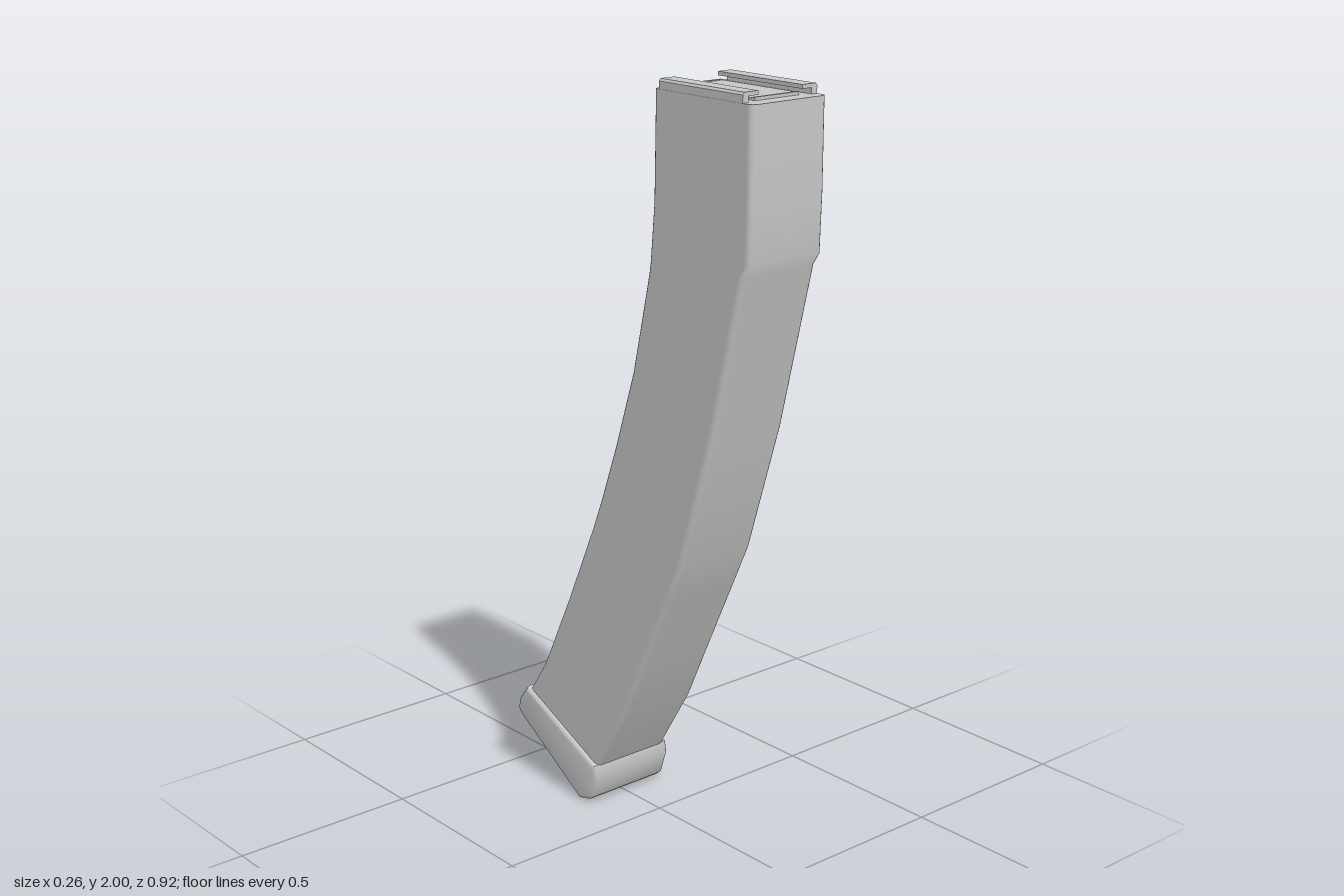
import * as THREE from 'three';
import { toCreasedNormals } from 'three/addons/utils/BufferGeometryUtils.js';

// Front and back edge of each body section: [frontZ, frontY, backZ, backY]
const SECTIONS = [
  [0.460, 1.975, 0.116, 1.975],
  [0.460, 1.750, 0.110, 1.700],
  [0.455, 1.600, 0.096, 1.550],
  [0.435, 1.570, 0.091, 1.520],
  [0.330, 1.140, 0.030, 1.260],
  [0.275, 0.965, -0.040, 1.050],
  [0.220, 0.790, -0.100, 0.890],
  [0.170, 0.683, -0.135, 0.805],
  [0.080, 0.492, -0.240, 0.575],
  [-0.010, 0.300, -0.350, 0.350],
  [-0.130, 0.105, -0.424, 0.240],
];

// Rounded rectangle, clockwise from above: point (x, distance from front) and normal (nx, toFront)
function roundedSection(halfWidth, depth, r) {
  const points = [];
  const corners = [[1, r], [-1, r], [-1, depth - r], [1, depth - r]];
  corners.forEach(([sx, cd], quarter) => {
    for (let i = 0; i <= 4; i++) {
      const a = (quarter + i / 4) * Math.PI / 2;
      const nx = Math.cos(a), nf = Math.sin(a);
      points.push({ x: sx * (halfWidth - r) + r * nx, d: cd - r * nf, nx, nf });
    }
  });
  return points;
}

// Unit normal [y, z], facing the front, of the edge stored at column k of the sections
function edgeNormal(s, k) {
  const above = SECTIONS[Math.max(s - 1, 0)];
  const below = SECTIONS[Math.min(s + 1, SECTIONS.length - 1)];
  const dz = above[k] - below[k], dy = above[k + 1] - below[k + 1];
  const length = Math.hypot(dz, dy);
  return [-dz / length, dy / length];
}

// Loft the sections from top to bottom, smooth along the curve, with flat end caps
function bodyGeometry() {
  const positions = [], normals = [], index = [];
  const last = SECTIONS.length - 1;
  const n = 20;

  const addRing = (s, capNormal) => {
    const [fz, fy, bz, by] = SECTIONS[s];
    const depth = Math.hypot(bz - fz, by - fy);
    for (const { x, d, nx, nf } of roundedSection(0.119, depth, 0.016)) {
      const t = d / depth;
      positions.push(x, fy + (by - fy) * t, fz + (bz - fz) * t);
      const [ny, nz] = edgeNormal(s, nf > 0 ? 0 : 2);
      normals.push(...(capNormal || [nx, nf * ny, nf * nz]));
    }
  };

  SECTIONS.forEach((section, s) => addRing(s));
  for (let s = 0; s < last; s++) {
    for (let i = 0; i < n; i++) {
      const a = s * n + i, b = s * n + (i + 1) % n;
      index.push(a, b, a + n, b, b + n, a + n);
    }
  }

  const top = (last + 1) * n, bottom = top + n;
  addRing(0, [0, 1, 0]);
  addRing(last, [0, -0.91, -0.41]);
  for (let i = 1; i < n - 1; i++) {
    index.push(top, top + i + 1, top + i);
    index.push(bottom, bottom + i, bottom + i + 1);
  }

  const geometry = new THREE.BufferGeometry();
  geometry.setAttribute('position', new THREE.Float32BufferAttribute(positions, 3));
  geometry.setAttribute('normal', new THREE.Float32BufferAttribute(normals, 3));
  geometry.setIndex(index);
  return geometry;
}

const toShape = (points) => new THREE.Shape(points.map(([x, y]) => new THREE.Vector2(x, y)));

// Extrude a side profile of [z, y] points across the width
function sideExtrude(profile, halfWidth, bevel) {
  const geometry = new THREE.ExtrudeGeometry(toShape(profile), {
    depth: 2 * (halfWidth - bevel), bevelEnabled: true, bevelThickness: bevel,
    bevelSize: bevel, bevelOffset: -bevel, bevelSegments: 3,
  });
  geometry.translate(0, 0, -(halfWidth - bevel));
  geometry.rotateY(-Math.PI / 2);
  return toCreasedNormals(geometry, 0.6);
}

export function createModel() {
  const group = new THREE.Group();
  const grey = new THREE.MeshStandardMaterial({ color: 0xc7c7c7 });
  grey.name = 'light grey metal';

  const add = (name, geometry, x = 0, y = 0, z = 0) => {
    const mesh = new THREE.Mesh(geometry, grey);
    mesh.name = name;
    mesh.position.set(x, y, z);
    group.add(mesh);
  };

  add('curvedBody', bodyGeometry());

  // Base cap, slightly wider than the body
  add('baseCap', sideExtrude([
    [-0.122, 0.122], [-0.116, 0.088], [-0.138, 0.022], [-0.150, 0.012], [-0.190, 0.002],
    [-0.450, 0.166], [-0.460, 0.182], [-0.455, 0.210], [-0.418, 0.258],
  ], 0.13, 0.012));

  // Low plate on the top face, with a lip at each end
  add('topPlate', new THREE.BoxGeometry(0.14, 0.012, 0.255), 0, 1.975, 0.2825);
  add('plateRearLip', new THREE.BoxGeometry(0.14, 0.008, 0.010), 0, 1.979, 0.150);
  add('plateFrontLip', new THREE.BoxGeometry(0.14, 0.008, 0.008), 0, 1.979, 0.412);

  // Side rails, each a wall with a thin flange turned inward
  const railProfile = [
    [0.100, 1.972], [0.118, 1.972], [0.118, 1.994], [0.113, 2.000],
    [0.070, 2.000], [0.070, 1.990], [0.100, 1.990],
  ];
  for (const side of [-1, 1]) {
    const profile = railProfile.map(([x, y]) => [side * x, y]);
    const rail = new THREE.ExtrudeGeometry(toShape(profile), { depth: 0.292, bevelEnabled: false });
    add(side > 0 ? 'leftRail' : 'rightRail', rail, 0, 0, 0.135);
  }
  return group;
}
